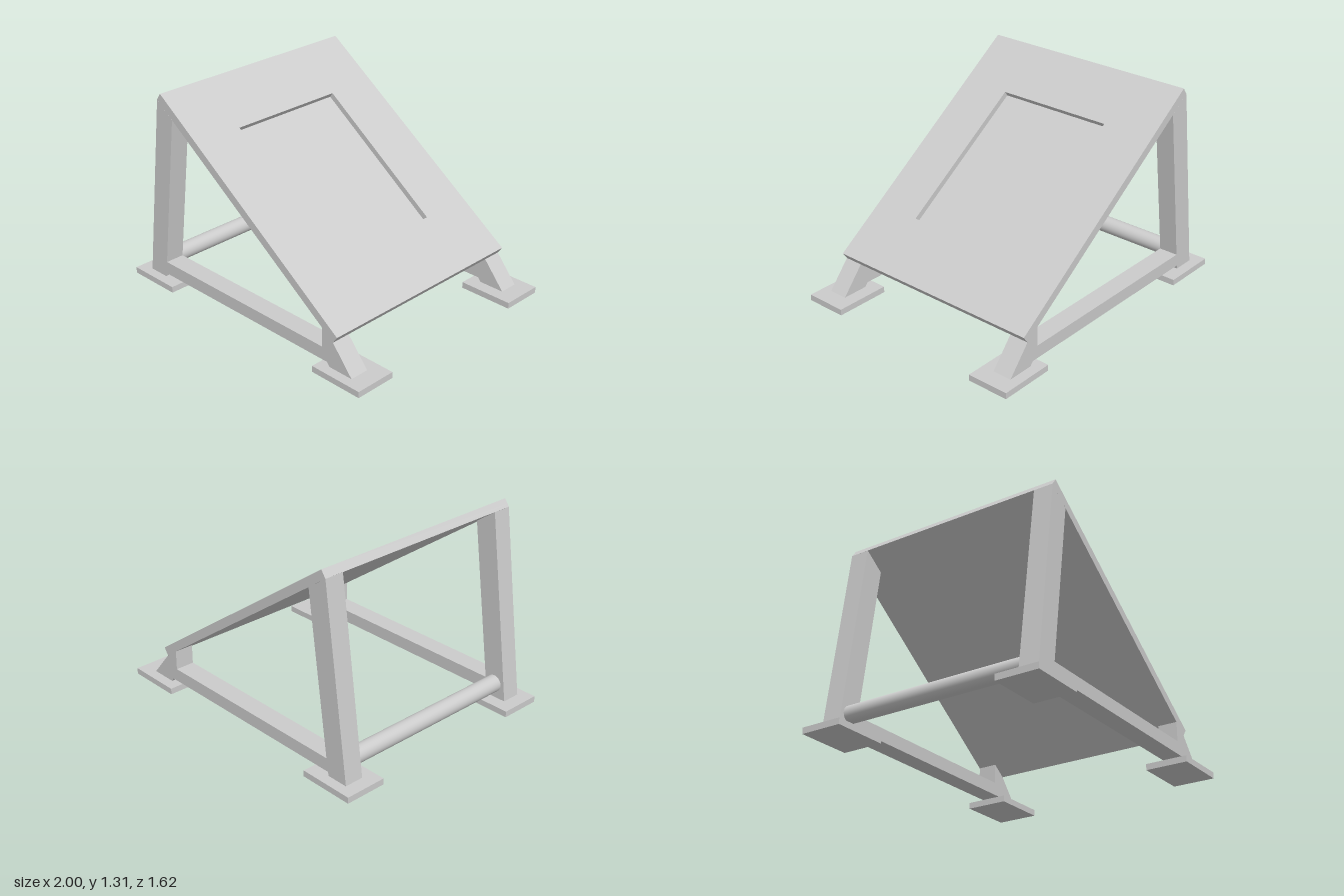
import * as THREE from 'three';

const material = new THREE.MeshStandardMaterial({ color: 0xcccccc });

function addMesh(parent, name, geometry, x = 0, y = 0, z = 0) {
  const mesh = new THREE.Mesh(geometry, material);
  mesh.name = name;
  mesh.position.set(x, y, z);
  parent.add(mesh);
  return mesh;
}

const points = (list) => list.map(([x, y]) => new THREE.Vector2(x, y));

// Sloped board with a shallow rectangular recess in its upper face
function createPanel() {
  const panel = new THREE.Group();
  panel.name = 'slopedPanel';
  const length = 1.819, width = 1.49, thickness = 0.055, recess = 0.037;
  const a = length / 2, b = width / 2;

  const outline = new THREE.Shape(points([[-a, -b], [a, -b], [a, b], [-a, b]]));
  outline.holes.push(new THREE.Path(points([
    [-0.518, 0.395], [0.51, 0.385], [0.51, -0.415], [-0.518, -0.405],
  ])));
  const surround = new THREE.ExtrudeGeometry(outline, { depth: recess, bevelEnabled: false });
  surround.rotateX(-Math.PI / 2);
  addMesh(panel, 'panelSurround', surround, 0, -recess, 0);

  const base = thickness - recess;
  addMesh(panel, 'recessFloor', new THREE.BoxGeometry(length, base, width), 0, -recess - base / 2, 0);

  panel.position.set(0.0275, 0.785, 0.002);
  panel.rotation.z = -Math.atan2(1.05, 1.485);
  return panel;
}

export function createModel() {
  const model = new THREE.Group();
  model.name = 'slopedStand';
  model.add(createPanel());

  // Side frame: tall leg, bottom rail and short splayed leg in one profile
  const profile = new THREE.Shape(points([
    [-0.912, 0.04], [-0.77, 0.04], [-0.764, 0.065], [0.69, 0.065], [0.71, 0.04],
    [0.885, 0.04], [0.738, 0.215], [0.65, 0.278], [0.65, 0.15], [-0.752, 0.15],
    [-0.613, 1.17], [-0.747, 1.265],
  ]));
  const frameDepth = 0.127;
  const frame = new THREE.ExtrudeGeometry(profile, { depth: frameDepth, bevelEnabled: false });
  frame.translate(0, 0, -frameDepth / 2);

  const foot = new THREE.BoxGeometry(0.368, 0.04, 0.277);
  for (const side of [1, -1]) {
    const label = side > 0 ? 'front' : 'back';
    addMesh(model, label + 'SideFrame', frame, 0, 0, 0.002 + side * 0.6815);
    for (const end of [1, -1]) {
      addMesh(model, label + (end > 0 ? 'Left' : 'Right') + 'Foot', foot, end * 0.816, 0.02, side * 0.671);
    }
  }

  // Round crossbar joining the tall legs
  const bar = new THREE.CylinderGeometry(0.055, 0.055, 1.24, 48);
  bar.rotateX(Math.PI / 2);
  addMesh(model, 'crossbar', bar, -0.82, 0.135, 0.002);

  return model;
}
